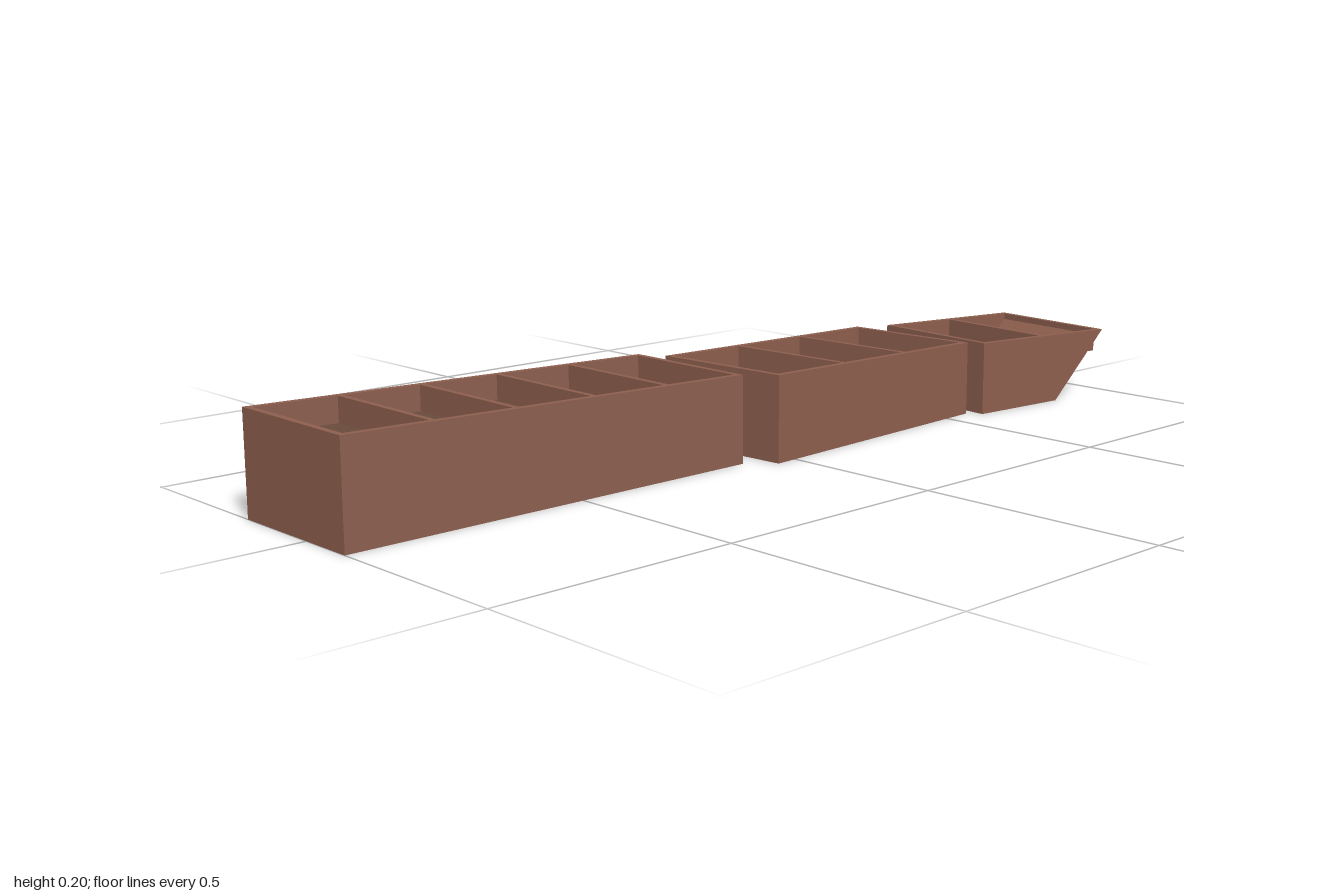
import * as THREE from 'three';

const shellMat = new THREE.MeshStandardMaterial({ color: 0x8d5f4e, side: THREE.DoubleSide });
shellMat.name = 'reddish brown';
const floorMat = new THREE.MeshStandardMaterial({ color: 0x684a3a, side: THREE.DoubleSide });
floorMat.name = 'dark brown';

const WIDTH = 0.305, RIM = 0.013, RIB = 0.012, DEPTH = 0.05;

// Mesh made of flat four-cornered faces
function quadMesh(name, material, quads) {
  const pos = [];
  for (const [a, b, c, d] of quads) pos.push(...a, ...b, ...c, ...a, ...c, ...d);
  const geo = new THREE.BufferGeometry();
  geo.setAttribute('position', new THREE.Float32BufferAttribute(pos, 3));
  geo.computeVertexNormals();
  const mesh = new THREE.Mesh(geo, material);
  mesh.name = name;
  return mesh;
}

// Four faces joining two rings of four corners (ring runs counterclockwise from above)
const band = (low, high) => low.map((p, i) => {
  const j = (i + 1) % 4;
  return [p, low[j], high[j], high[i]];
});

// One open-bottomed box with a sloping top, a shallow tray and dividing ribs
function makeBox({ name, x, z, turn, length, front, back, cells, rake = 0 }) {
  const box = new THREE.Group();
  box.name = name;
  const half = length / 2;
  const topY = (lz) => back + (front - back) * (lz + half) / length;
  const ring = (w, z0, z1, y) => [[-w, z1], [w, z1], [w, z0], [-w, z0]]
    .map(([px, pz]) => [px, y(pz), pz]);
  const floorY = (lz) => topY(lz) - DEPTH;
  const wo = WIDTH / 2, wi = wo - RIM, hi = half - RIM;

  // Outer walls, the rear one raked when asked
  const outerTop = ring(wo, -half, half, topY);
  const outerLow = ring(wo, -half + rake, half, () => 0);
  box.add(quadMesh('outerWalls', shellMat, band(outerLow, outerTop)));

  // Rim and tray
  const innerTop = ring(wi, -hi, hi, topY);
  const innerLow = ring(wi, -hi, hi, floorY);
  box.add(quadMesh('rim', shellMat, band(outerTop, innerTop)));
  box.add(quadMesh('trayWalls', shellMat, band(innerTop, innerLow)));
  box.add(quadMesh('trayFloor', floorMat, [innerLow]));

  // Dividing ribs
  for (let i = 1; i < cells; i++) {
    const c = -hi + (2 * hi * i) / cells;
    const top = ring(wi, c - RIB / 2, c + RIB / 2, topY);
    const low = ring(wi, c - RIB / 2, c + RIB / 2, floorY);
    const sides = band(low, top);
    box.add(quadMesh('rib', shellMat, [top, sides[0], sides[2]]));
  }

  box.position.set(x, 0, z);
  box.rotation.y = turn;
  return box;
}

export function createModel() {
  const model = new THREE.Group();
  model.name = 'segmentedTrays';
  model.add(
    makeBox({ name: 'frontBox', x: -0.0365, z: 0.55, turn: 0, length: 0.9, front: 0.2, back: 0.176, cells: 5 }),
    makeBox({ name: 'middleBox', x: -0.009, z: -0.25, turn: 0.064, length: 0.62, front: 0.175, back: 0.157, cells: 3 }),
    makeBox({ name: 'rearBox', x: 0.0175, z: -0.795, turn: -0.0914, length: 0.384, front: 0.156, back: 0.146, cells: 2, rake: 0.15 }),
  );
  return model;
}
